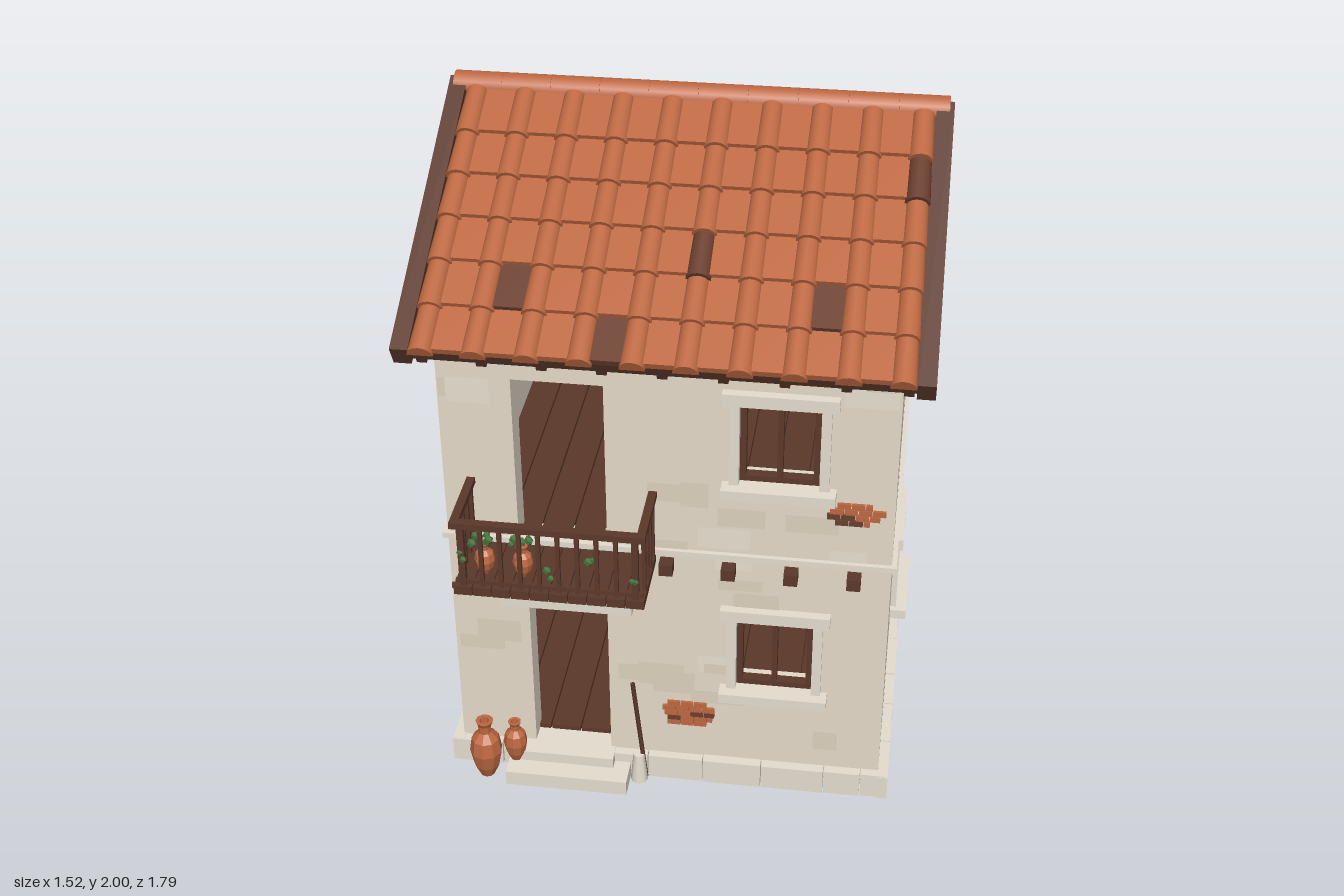
import * as THREE from 'three';

const mat = (name, color) => {
  const m = new THREE.MeshStandardMaterial({ color });
  m.name = name;
  return m;
};

export function createModel() {
  const M = {
    plaster: mat('plaster', 0xe4dac9),
    plasterDark: mat('dark plaster', 0xdcd1bf),
    plasterLight: mat('light plaster', 0xe8dfd0),
    stone: mat('stone', 0xe4ddcf),
    tile: mat('terracotta', 0xbd6841),
    burnt: mat('burnt tile', 0x6a3f2e),
    moss: mat('moss', 0x5a8a42),
    timber: mat('timber', 0x5c382b),
    dark: mat('dark timber', 0x52322a),
    leaf: mat('leaf', 0x42703c),
  };
  let seed = 7;
  const rnd = () => (seed = (seed * 16807) % 2147483647) / 2147483647;

  const root = new THREE.Group();
  root.name = 'house';
  const add = (parent, name, geo, material, x = 0, y = 0, z = 0) => {
    const m = new THREE.Mesh(geo, material);
    m.name = name;
    m.position.set(x, y, z);
    parent.add(m);
    return m;
  };
  // Box given by its min and max along each axis
  const box = (parent, name, material, x0, x1, y0, y1, z0, z1) =>
    add(parent, name, new THREE.BoxGeometry(x1 - x0, y1 - y0, z1 - z0), material,
      (x0 + x1) / 2, (y0 + y1) / 2, (z0 + z1) / 2);
  const group = (parent, name, x = 0, y = 0, z = 0) => {
    const g = new THREE.Group();
    g.name = name;
    g.position.set(x, y, z);
    parent.add(g);
    return g;
  };

  // Each wall is built in its own frame: u to the right, v up, z outwards.
  // Openings are [u0, u1, v0, v1, kind]
  const sides = {
    front: { pos: [0, 0, 0.655], rot: 0, u: [-0.63, 0.66], holes: [
      [-0.40, -0.165, 0.08, 0.64, 'door'], [-0.42, -0.16, 0.86, 1.40, 'door'],
      [0.22, 0.445, 0.375, 0.635, 'stone'], [0.22, 0.445, 1.115, 1.38, 'stone']] },
    right: { pos: [0.66, 0, 0], rot: Math.PI / 2, u: [-0.655, 0.745], apex: 0.045, holes: [
      [-0.2, -0.005, 0.385, 0.62, 'stone'], [0.11, 0.305, 1.11, 1.37, 'stone']] },
    back: { pos: [0, 0, -0.745], rot: Math.PI, u: [-0.66, 0.63], holes: [
      [-0.25, -0.1, 0.42, 0.605, 'rustic'], [0.07, 0.235, 1.165, 1.35, 'rustic']] },
    left: { pos: [-0.63, 0, 0], rot: -Math.PI / 2, u: [-0.745, 0.655], apex: -0.045, holes: [
      [-0.13, 0.03, 0.42, 0.605, 'rustic'], [0, 0.16, 1.165, 1.35, 'rustic']] },
  };

  const windowParts = (g, [a, b, c, d, kind]) => {
    const w = group(g, 'window');
    const t = kind === 'stone' ? 0.018 : 0.015;
    const z0 = -0.04, z1 = -0.01;
    box(w, 'frameLeft', M.timber, a, a + t, c, d, z0, z1);
    box(w, 'frameRight', M.timber, b - t, b, c, d, z0, z1);
    box(w, 'frameTop', M.timber, a, b, d - t, d, z0, z1);
    box(w, 'frameBottom', M.timber, a, b, c, c + t, z0, z1);
    const m = (a + b) / 2;
    if (kind === 'stone') {
      box(w, 'mullion', M.timber, m - 0.008, m + 0.008, c, d, z0, z1);
      box(w, 'lintel', M.stone, a - 0.048, b + 0.048, d, d + 0.038, -0.02, 0.028);
      box(w, 'sill', M.stone, a - 0.048, b + 0.048, c - 0.032, c, -0.02, 0.05);
      box(w, 'jambLeft', M.stone, a - 0.028, a, c, d, -0.02, 0.018);
      box(w, 'jambRight', M.stone, b, b + 0.028, c, d, -0.02, 0.018);
    } else {
      for (const s of [1, 2]) {
        const u = a + (b - a) * s / 3, v = c + (d - c) * s / 3;
        box(w, 'uprightBar', M.timber, u - 0.005, u + 0.005, c, d, -0.03, -0.015);
        box(w, 'crossBar', M.timber, a, b, v - 0.005, v + 0.005, -0.03, -0.015);
      }
      box(w, 'lintel', M.timber, a - 0.045, b + 0.045, d, d + 0.032, -0.02, 0.018);
      box(w, 'sill', M.stone, a - 0.05, b + 0.05, c - 0.03, c, -0.02, 0.05);
    }
  };

  for (const [name, s] of Object.entries(sides)) {
    const g = s.g = group(root, name + 'Side', ...s.pos);
    g.rotation.y = s.rot;
    const [u0, u1] = s.u;
    const gable = s.apex !== undefined;
    const pts = [[u0, 0.04], [u1, 0.04], [u1, 1.545]];
    if (gable) pts.push([s.apex, 1.925]);
    pts.push([u0, 1.545]);
    const shape = new THREE.Shape(pts.map(p => new THREE.Vector2(...p)));
    for (const [a, b, c, d, kind] of s.holes) {
      shape.holes.push(new THREE.Path([[a, c], [a, d], [b, d], [b, c]].map(p => new THREE.Vector2(...p))));
      if (kind !== 'door') windowParts(g, [a, b, c, d, kind]);
    }
    add(g, 'wall', new THREE.ExtrudeGeometry(shape, { depth: 0.08, bevelEnabled: false }), M.plaster, 0, 0, -0.08);
    // Faintly mottled stones in the plaster
    for (let i = 0; i < 46; i++) {
      const w = 0.06 + rnd() * 0.1, h = 0.035 + rnd() * 0.05;
      const u = u0 + rnd() * (u1 - u0 - w), v = 0.1 + rnd() * 1.35;
      if (s.holes.some(([a, b, c, d]) => u < b && u + w > a && v < d && v + h > c)) continue;
      add(g, 'wallStone', new THREE.PlaneGeometry(w, h), i % 3 ? M.plasterDark : M.plasterLight,
        u + w / 2, v + h / 2, 0.0007 + i * 0.00003);
    }
    // Ledges between the storeys and under the gable
    box(g, 'ledge', M.stone, u0 - 0.014, u1 + 0.014, 0.848, 0.866, -0.02, 0.014);
    if (gable) box(g, 'gableLedge', M.stone, u0 + 0.02, u1 - 0.02, 1.565, 1.597, -0.02, 0.006);
    // Plinth blocks
    for (let u = u0 - 0.03; u < u1 + 0.029;) {
      let e = u + 0.11 + rnd() * 0.09;
      if (e > u1 - 0.05) e = u1 + 0.03;
      box(g, 'plinthBlock', M.stone, u, e - 0.003, 0, 0.08 + rnd() * 0.006, -0.006, 0.027 + rnd() * 0.004);
      u = e;
    }
  }
  const F = sides.front.g, R = sides.right.g, L = sides.left.g;

  // Patches of bare brick
  const bricks = (g, u, v, w, h, burntShare) => {
    const p = group(g, 'brickPatch', u, v, 0);
    const n = Math.round(h / 0.018);
    for (let r = 0; r < n; r++) {
      const y = (r + 0.5) * h / n - h / 2;
      const half = w / 2 * Math.sqrt(1 - (y / h) ** 2 * 3) * (0.85 + rnd() * 0.25);
      const shift = (rnd() - 0.5) * 0.02;
      for (let x = -half; x < half - 0.01; x += 0.04) {
        box(p, 'brick', rnd() < burntShare ? M.burnt : M.tile, x + shift, Math.min(x + 0.038, half) + shift,
          y - 0.0085, y + 0.0085, -0.01, 0.009);
      }
    }
  };
  bricks(F, 0.08, 0.25, 0.17, 0.09, 0.15);
  bricks(F, 0.55, 1.035, 0.15, 0.075, 0.25);
  bricks(F, -0.55, 0.67, 0.13, 0.06, 0.9);
  bricks(L, -0.3, 0.31, 0.16, 0.11, 0.15);

  // Floors and recessed underside
  box(root, 'underside', M.dark, -0.63, 0.66, 0.038, 0.06, -0.745, 0.655);
  for (const top of [0.1, 0.862]) {
    for (let i = 0; i < 12; i++) {
      const x = -0.55 + i * 0.0942;
      box(root, 'floorPlank', M.timber, x, x + 0.09, top - 0.02, top, -0.665, 0.6);
    }
    box(root, 'subfloor', M.dark, -0.55, 0.58, top - 0.04, top - 0.02, -0.665, 0.575);
  }
  // Furniture
  box(root, 'chest', M.timber, -0.39, -0.22, 0.862, 0.98, -0.5, -0.3);
  box(root, 'chestCover', M.tile, -0.41, -0.23, 0.98, 1.015, -0.51, -0.29);
  box(root, 'bench', M.plaster, -0.41, -0.325, 0.1, 0.215, -0.3, 0);
  box(root, 'tableTop', M.timber, 0.05, 0.2, 0.465, 0.48, 0.02, 0.12);
  for (const z of [0.03, 0.11]) box(root, 'tableLeg', M.timber, 0.115, 0.135, 0.1, 0.465, z - 0.008, z + 0.008);

  // Doorway and steps
  box(F, 'doorLintel', M.stone, -0.475, -0.085, 0.64, 0.69, -0.02, 0.045);
  box(F, 'lowerStep', M.stone, -0.475, -0.1, 0, 0.05, 0, 0.12);
  box(F, 'upperStep', M.stone, -0.44, -0.15, 0.05, 0.085, -0.06, 0.06);

  // Beam ends and balcony
  for (const x of [-0.525, -0.365, -0.205, -0.05, 0.015, 0.195, 0.375, 0.555]) {
    box(F, 'beamEnd', M.timber, x - 0.02, x + 0.02, 0.795, 0.833, -0.02, 0.042);
  }
  const balcony = group(F, 'balcony');
  for (let i = 0; i < 10; i++) {
    const x = -0.56 + i * 0.0545;
    box(balcony, 'deckPlank', M.timber, x, x + 0.052, 0.817, 0.845, 0, 0.23);
    const post = i % 9 ? 0.006 : 0.009;
    box(balcony, 'baluster', M.timber, x + 0.027 - post, x + 0.027 + post, 0.845, 1.045, 0.215 - post, 0.215 + post);
  }
  box(balcony, 'frontRail', M.timber, -0.562, -0.012, 1.043, 1.062, 0.203, 0.229);
  box(balcony, 'lowerRail', M.timber, -0.555, -0.02, 0.852, 0.864, 0.209, 0.221);
  for (const x of [-0.55, -0.025]) {
    box(balcony, 'sideRail', M.timber, x - 0.012, x + 0.012, 1.043, 1.062, 0, 0.205);
    for (let k = 0; k < 4; k++) box(balcony, 'sideBaluster', M.timber, x - 0.006, x + 0.006, 0.845, 1.045, 0.011 + k * 0.052, 0.023 + k * 0.052);
  }

  // Clay jars and pots, turned from a profile of [radius, height]
  const jarProfile = [[0, 0], [0.45, 0], [0.8, 0.2], [1, 0.45], [0.85, 0.68], [0.4, 0.8], [0.4, 0.92], [0.55, 1], [0.3, 1], [0.25, 0.85]];
  const jar = (g, name, x, y, z, r, h, material = M.tile) => {
    const geo = new THREE.LatheGeometry(jarProfile.map(p => new THREE.Vector2(p[0] * r, p[1] * h)), 9).toNonIndexed();
    geo.computeVertexNormals();
    add(g, name, geo, material, x, y, z);
  };
  const leaves = (g, x, y, z, n, sx, sy) => {
    for (let i = 0; i < n; i++) {
      add(g, 'leaves', new THREE.IcosahedronGeometry(0.009 + rnd() * 0.006, 0), M.leaf,
        x + (rnd() - 0.5) * sx, y + (rnd() - 0.5) * sy, z + (rnd() - 0.5) * 0.03);
    }
  };
  jar(F, 'largeJar', -0.54, 0.01, 0.085, 0.05, 0.21);
  jar(F, 'smallJar', -0.455, 0.05, 0.05, 0.037, 0.145);
  jar(root, 'tableJar', 0.125, 0.48, 0.06, 0.022, 0.05, M.stone);
  jar(root, 'benchJar', -0.385, 0.215, -0.05, 0.02, 0.07, M.burnt);
  add(F, 'guardStone', new THREE.CylinderGeometry(0.017, 0.027, 0.1, 8), M.stone, -0.07, 0.06, 0.05);
  for (const x of [-0.485, -0.375]) {
    jar(balcony, 'flowerPot', x, 0.845, 0.15, 0.03, 0.1);
    leaves(balcony, x, 0.96, 0.15, 8, 0.07, 0.03);
  }
  for (const [x, y] of [[-0.165, 0.965], [-0.045, 0.92], [-0.29, 0.9], [-0.53, 0.95]]) leaves(balcony, x, y, 0.222, 2, 0.015, 0.03);
  const staff = add(F, 'staff', new THREE.CylinderGeometry(0.007, 0.007, 0.37, 6), M.timber, -0.068, 0.2, 0.045);
  staff.rotation.z = 0.1;

  // Window planter
  box(R, 'planter', M.timber, 0.09, 0.325, 1.05, 1.108, 0.022, 0.082);
  leaves(R, 0.207, 1.122, 0.052, 18, 0.21, 0.03);
  for (const [u, n] of [[0.14, 1], [0.22, 4], [0.3, 4]]) {
    for (let k = 0; k < n; k++) leaves(R, u, 1.08 - k * 0.027, 0.076, 1, 0.01, 0.005);
  }
  for (const u of [0.12, 0.19, 0.27]) add(R, 'blossom', new THREE.IcosahedronGeometry(0.009, 0), M.tile, u, 1.14, 0.06);

  // Washing line
  const line = group(L, 'washingLine');
  for (const u of [-0.565, 0.46]) box(line, 'arm', M.timber, u - 0.006, u + 0.006, 1.412, 1.424, -0.02, 0.13);
  box(line, 'cord', M.dark, -0.565, 0.46, 1.415, 1.419, 0.123, 0.127);
  [[-0.41, 0.09, 0.12], [-0.25, 0.11, 0.13], [-0.07, 0.08, 0.09], [0.13, 0.1, 0.12], [0.32, 0.09, 0.13]].forEach(([u, w, h], i) =>
    box(line, 'cloth', i === 1 ? M.tile : M.stone, u - w / 2, u + w / 2, 1.416 - h, 1.416, 0.122, 0.128));

  // Roof slopes: x along the ridge, y off the slope, z down the slope
  const roof = group(root, 'roof', 0.015, 1.91, -0.045);
  const pitch = 0.1433, step = 0.147;
  const panGeo = new THREE.BoxGeometry(pitch - 0.004, 0.02, 0.165);
  const coverGeo = new THREE.CylinderGeometry(0.036, 0.031, 0.17, 8, 1, false, Math.PI / 2, Math.PI).rotateX(Math.PI / 2);
  const slopes = [
    { dir: 1, covers: ['9,4', '5,2'], pans: ['1,1', '7,1', '3,0'], mossy: '' },
    { dir: -1, covers: ['1,0', '2,1', '9,1', '7,4', '8,4', '0,5', '3,5'], pans: ['1,2', '5,4'], mossy: '7,0' },
  ];
  for (const { dir, covers, pans, mossy } of slopes) {
    const g = group(roof, dir > 0 ? 'frontSlope' : 'backSlope');
    g.rotation.set(0.487, dir > 0 ? 0 : Math.PI, 0, 'YXZ');
    box(g, 'roofDeck', M.timber, -0.7, 0.7, 0.012, 0.05, -0.024, 0.89);
    for (const s of [-1, 1]) box(g, 'bargeBoard', M.timber, s * 0.705 - 0.025, s * 0.705 + 0.025, 0, 0.07, -0.036, 0.9);
    for (let i = 0; i < 9; i++) {
      const x = (i - 4) * 0.165;
      box(g, 'rafter', M.timber, x - 0.014, x + 0.014, -0.024, 0.02, 0.7, 0.88);
    }
    for (let k = 0; k < 6; k++) {
      const end = 0.897 - k * step;
      for (let i = 0; i < 10; i++) {
        const key = i + ',' + k;
        if (i < 9) {
          const m = key === mossy ? M.moss : pans.includes(key) ? M.burnt : M.tile;
          add(g, 'panTile', panGeo, m, dir * (i - 4) * pitch, 0.061, end - 0.0825).rotation.x = -0.09;
        }
        add(g, 'coverTile', coverGeo, covers.includes(key) ? M.burnt : M.tile,
          dir * (i - 4.5) * pitch, 0.057, end - 0.073).rotation.x = -0.05;
      }
    }
  }
  // Half-round ridge tiles
  const ridgeGeo = new THREE.CylinderGeometry(0.042, 0.042, 0.143, 10, 1, false, 0, Math.PI).rotateZ(Math.PI / 2);
  for (let i = 0; i < 10; i++) add(roof, 'ridgeTile', ridgeGeo, M.tile, (i - 4.5) * 0.1435, 0.048, -0.008);

  return root;
}
